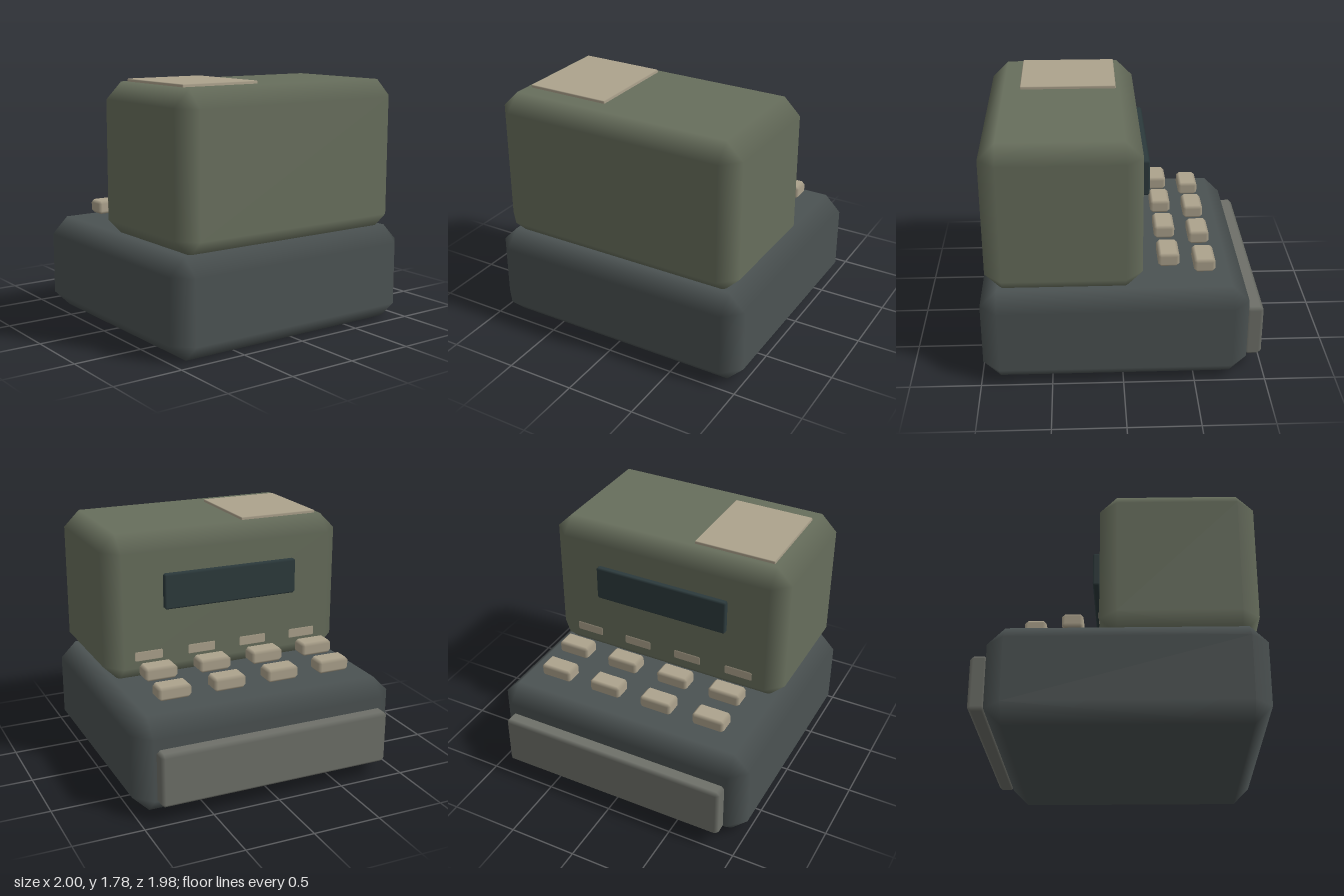
import * as THREE from 'three';
import { ConvexGeometry } from 'three/addons/geometries/ConvexGeometry.js';

// Box with a single chamfer; flat faces keep axis normals so the chamfers shade softly.
function chamferBox(w, h, d, c) {
  const half = [w / 2, h / 2, d / 2];
  const points = [];
  for (const sx of [-1, 1]) for (const sy of [-1, 1]) for (const sz of [-1, 1]) {
    const s = [sx, sy, sz];
    for (let axis = 0; axis < 3; axis++) {
      const p = half.map((v, i) => s[i] * (i === axis ? v : v - c));
      points.push(new THREE.Vector3(...p));
    }
  }
  const geometry = new ConvexGeometry(points);
  const pos = geometry.attributes.position;
  const normal = geometry.attributes.normal;
  for (let i = 0; i < pos.count; i++) {
    const p = [pos.getX(i), pos.getY(i), pos.getZ(i)];
    const n = p.map((v, k) => (Math.abs(Math.abs(v) - half[k]) < c * 0.1 ? Math.sign(v) : 0));
    normal.setXYZ(i, ...n);
  }
  return geometry;
}

const paint = (color) => new THREE.MeshStandardMaterial({ color });

export function createModel() {
  const model = new THREE.Group();
  const dark = paint(0x4b5252);
  const olive = paint(0x676e5c);
  const beige = paint(0xada38d);
  const grey = paint(0x6e7069);
  const glass = paint(0x2c3a3c);

  // Adds a chamfered block given its min/max extents
  function block(name, material, [x0, x1], [y0, y1], [z0, z1], chamfer, parent = model) {
    const mesh = new THREE.Mesh(chamferBox(x1 - x0, y1 - y0, z1 - z0, chamfer), material);
    mesh.name = name;
    mesh.position.set((x0 + x1) / 2, (y0 + y1) / 2, (z0 + z1) / 2);
    parent.add(mesh);
    return mesh;
  }

  // Main bodies
  block('base', dark, [-1, 1], [0, 0.695], [-0.88, 0.99], 0.12);
  block('housing', olive, [-0.935, 0.935], [0.675, 1.765], [-0.138, 0.95], 0.12);

  // Drawer, display and top plate
  block('drawer', grey, [-0.87, 0.867], [0.115, 0.505], [-0.99, -0.87], 0.025);
  block('display', glass, [-0.52, 0.517], [1.225, 1.485], [-0.2, -0.148], 0.013);
  block('topPlate', beige, [-0.785, -0.175], [1.745, 1.785], [0.01, 0.71], 0.006);

  // Stepped rows of keys, the last row running into the housing
  const keys = new THREE.Group();
  keys.name = 'keys';
  model.add(keys);
  for (let row = 0; row < 3; row++) {
    for (let col = 0; col < 4; col++) {
      const x = -0.613 + col * 0.413;
      const y = 0.782 + row * 0.05;
      const z = -0.577 + row * 0.253;
      block('key', beige, [x - 0.122, x + 0.122], [y - 0.05, y + 0.05], [z - 0.074, z + 0.074], 0.022, keys);
    }
  }
  return model;
}
